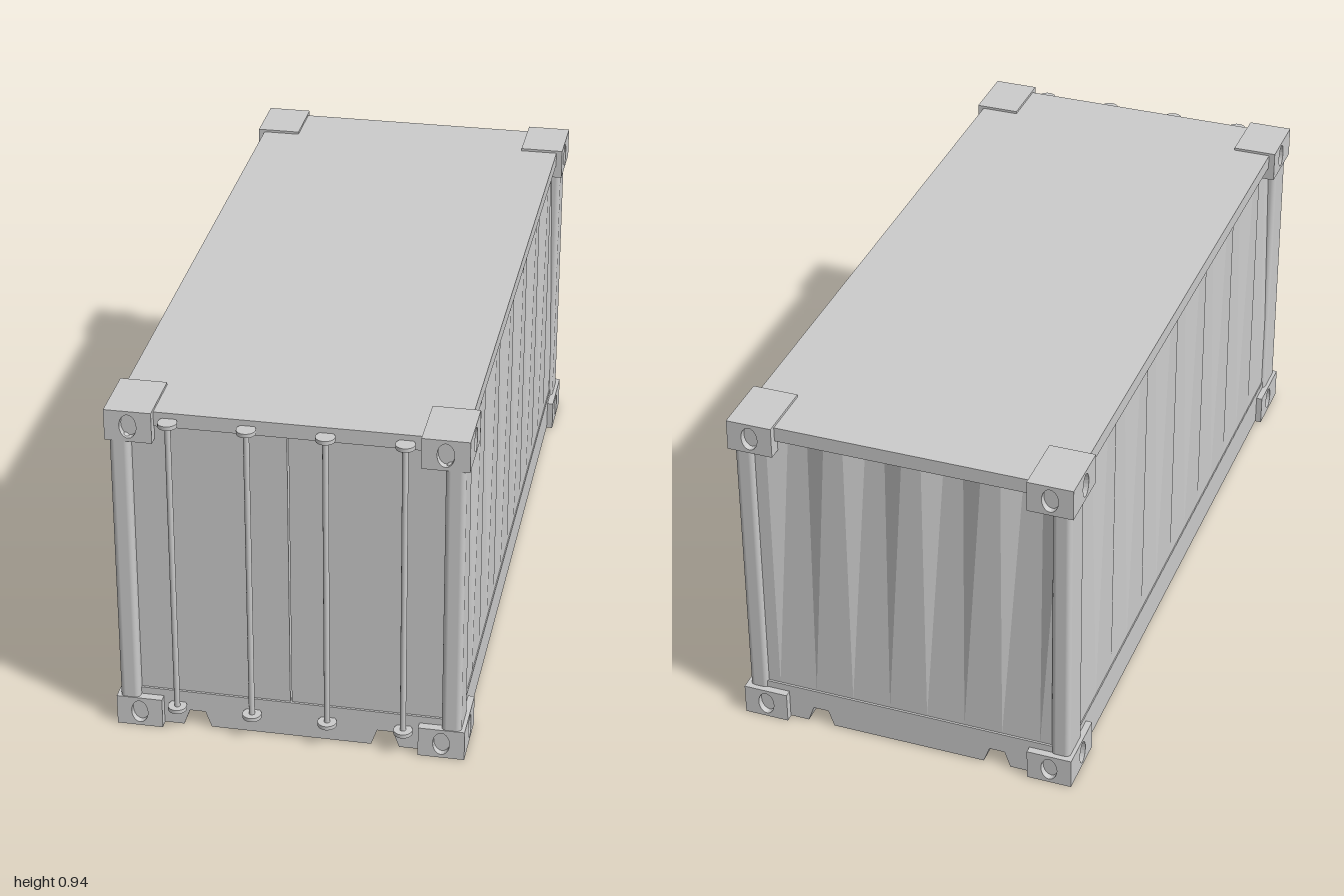
import * as THREE from 'three';
import { RoundedBoxGeometry } from 'three/addons/geometries/RoundedBoxGeometry.js';

const smooth = new THREE.MeshStandardMaterial({ color: 0xcccccc });
const faceted = new THREE.MeshStandardMaterial({ color: 0xcccccc, flatShading: true, side: THREE.DoubleSide });

export function createModel() {
  const root = new THREE.Group();

  const add = (name, geometry, parent = root, material = smooth) => {
    const mesh = new THREE.Mesh(geometry, material);
    mesh.name = name;
    parent.add(mesh);
    return mesh;
  };
  // Box given by its extents on each axis
  const box = (name, x0, x1, y0, y1, z0, z1, parent) => {
    const mesh = add(name, new THREE.BoxGeometry(x1 - x0, y1 - y0, z1 - z0), parent);
    mesh.position.set((x0 + x1) / 2, (y0 + y1) / 2, (z0 + z1) / 2);
    return mesh;
  };

  const W = 0.445, FRONT = 0.957, BACK = -0.98;
  const BASE = 0.003, SILL = 0.105, HEAD = 0.893, ROOF = 0.933;

  // Roof and rails
  box('roof', -W, W, 0.915, ROOF, BACK, FRONT);
  for (const s of [-1, 1]) {
    const [a, b] = s > 0 ? [0.4, W] : [-W, -0.4];
    box('topSideRail', a, b, HEAD, 0.92, BACK, FRONT);
    box('bottomSideRail', a, b, BASE, SILL, BACK, FRONT);
  }
  box('frontHeader', -0.4, 0.4, HEAD, 0.92, FRONT - 0.04, FRONT);
  box('backHeader', -0.4, 0.4, HEAD, 0.92, BACK, BACK + 0.04);

  // End sills with trapezoid forklift notches
  const sill = new THREE.Shape();
  sill.moveTo(-0.4, BASE);
  for (const c of [-0.25, 0.25]) {
    sill.lineTo(c - 0.037, BASE);
    sill.lineTo(c - 0.021, 0.048);
    sill.lineTo(c + 0.021, 0.048);
    sill.lineTo(c + 0.037, BASE);
  }
  sill.lineTo(0.4, BASE);
  sill.lineTo(0.4, SILL);
  sill.lineTo(-0.4, SILL);
  const sillGeo = new THREE.ExtrudeGeometry(sill, { depth: 0.04, bevelEnabled: false });
  add('frontSill', sillGeo).position.z = FRONT - 0.04;
  add('backSill', sillGeo).position.z = BACK;

  // Floor with forklift grooves that run out towards the back
  const xs = [-W, -0.287, -0.271, -0.229, -0.213, 0.213, 0.229, 0.271, 0.287, W];
  const groove = [0, 0, 1, 1, 0, 0, 1, 1, 0, 0];
  const stations = [[FRONT, 1], [-0.8, 0], [-0.9, 0], [BACK, 1]];
  const floor = new THREE.PlaneGeometry(1, 1, xs.length - 1, stations.length - 1);
  stations.forEach(([z, depth], r) => xs.forEach((x, c) =>
    floor.attributes.position.setXYZ(r * xs.length + c, x, BASE + 0.045 * depth * groove[c], z)));
  add('floor', floor, root, faceted);

  // Corrugated panels: ribs are deepest under the top rail and fade downwards
  const panel = (name, length, ribs) => {
    const geo = new THREE.PlaneGeometry(length, HEAD - SILL, ribs * 4, 1);
    const p = geo.attributes.position;
    for (let i = 0; i < p.count; i++) {
      const rib = i % (ribs * 4 + 1) % 4;
      if (p.getY(i) > 0 && (rib === 2 || rib === 3)) p.setZ(i, -0.02);
    }
    const mesh = add(name, geo, root, faceted);
    mesh.position.y = (SILL + HEAD) / 2;
    return mesh;
  };
  for (const s of [-1, 1]) {
    const wall = panel('sideWall', 1.86, 7);
    wall.position.x = s * (W - 0.003);
    wall.position.z = -0.01;
    wall.rotation.y = s * Math.PI / 2;
  }
  const backWall = panel('backWall', 0.84, 4);
  backWall.position.z = BACK + 0.006;
  backWall.rotation.y = Math.PI;

  // Doors, with a narrow seam between the leaves
  box('leftDoor', 0.002, 0.42, SILL, HEAD, FRONT - 0.04, FRONT - 0.006);
  box('rightDoor', -0.42, -0.002, SILL, HEAD, FRONT - 0.04, FRONT - 0.006);
  box('doorSeamBacking', -0.03, 0.03, SILL, HEAD, FRONT - 0.05, FRONT - 0.03);

  // Locking bars with round-nosed brackets
  const rodGeo = new THREE.CylinderGeometry(0.008, 0.008, 0.845, 12);
  const bracketGeo = new THREE.CylinderGeometry(0.025, 0.025, 0.011, 20);
  for (const x of [-0.3, -0.1, 0.1, 0.3]) {
    const bar = new THREE.Group();
    bar.name = 'lockingBar';
    add('rod', rodGeo, bar).position.y = 0.488;
    for (const y of [0.066, 0.912]) add('bracket', bracketGeo, bar).position.y = y;
    bar.position.set(x, 0, 0.975);
    root.add(bar);
  }

  // Corner posts
  for (const s of [-1, 1]) {
    for (const [name, z0, z1] of [['frontPost', 0.873, 0.978], ['backPost', -0.985, -0.885]]) {
      const post = add(name, new RoundedBoxGeometry(0.052, 0.8, z1 - z0, 3, 0.014));
      post.position.set(s * 0.426, 0.472, (z0 + z1) / 2);
    }
  }

  // Corner castings: solid core with pierced end and side plates
  const T = 0.018, CH = 0.085, CW = 0.122, CD = 0.17;
  const plate = (width) => {
    const shape = new THREE.Shape();
    shape.moveTo(-width / 2, -CH / 2);
    shape.lineTo(width / 2, -CH / 2);
    shape.lineTo(width / 2, CH / 2);
    shape.lineTo(-width / 2, CH / 2);
    const hole = new THREE.Path();
    hole.absellipse(0, 0, 0.022, 0.033, 0, Math.PI * 2, true);
    shape.holes.push(hole);
    return new THREE.ExtrudeGeometry(shape, { depth: T, bevelEnabled: false, curveSegments: 10 });
  };
  const endPlate = plate(CW), sidePlate = plate(CD - T);
  for (const sx of [-1, 1]) for (const sz of [-1, 1]) for (const y of [CH / 2, 0.94 - CH / 2]) {
    const casting = new THREE.Group();
    casting.name = 'cornerCasting';
    const core = add('core', new THREE.BoxGeometry(CW - T, CH, CD - T), casting);
    core.position.set(-sx * T / 2, 0, -sz * T / 2);
    const end = add('endPlate', endPlate, casting);
    end.position.z = sz * (CD / 2 - T);
    end.rotation.y = sz > 0 ? 0 : Math.PI;
    const side = add('sidePlate', sidePlate, casting);
    side.position.set(sx * (CW / 2 - T), 0, -sz * T / 2);
    side.rotation.y = sx * Math.PI / 2;
    casting.position.set(sx * (0.462 - CW / 2), y, (sz > 0 ? 0.98 : -1) - sz * CD / 2);
    root.add(casting);
  }

  return root;
}
